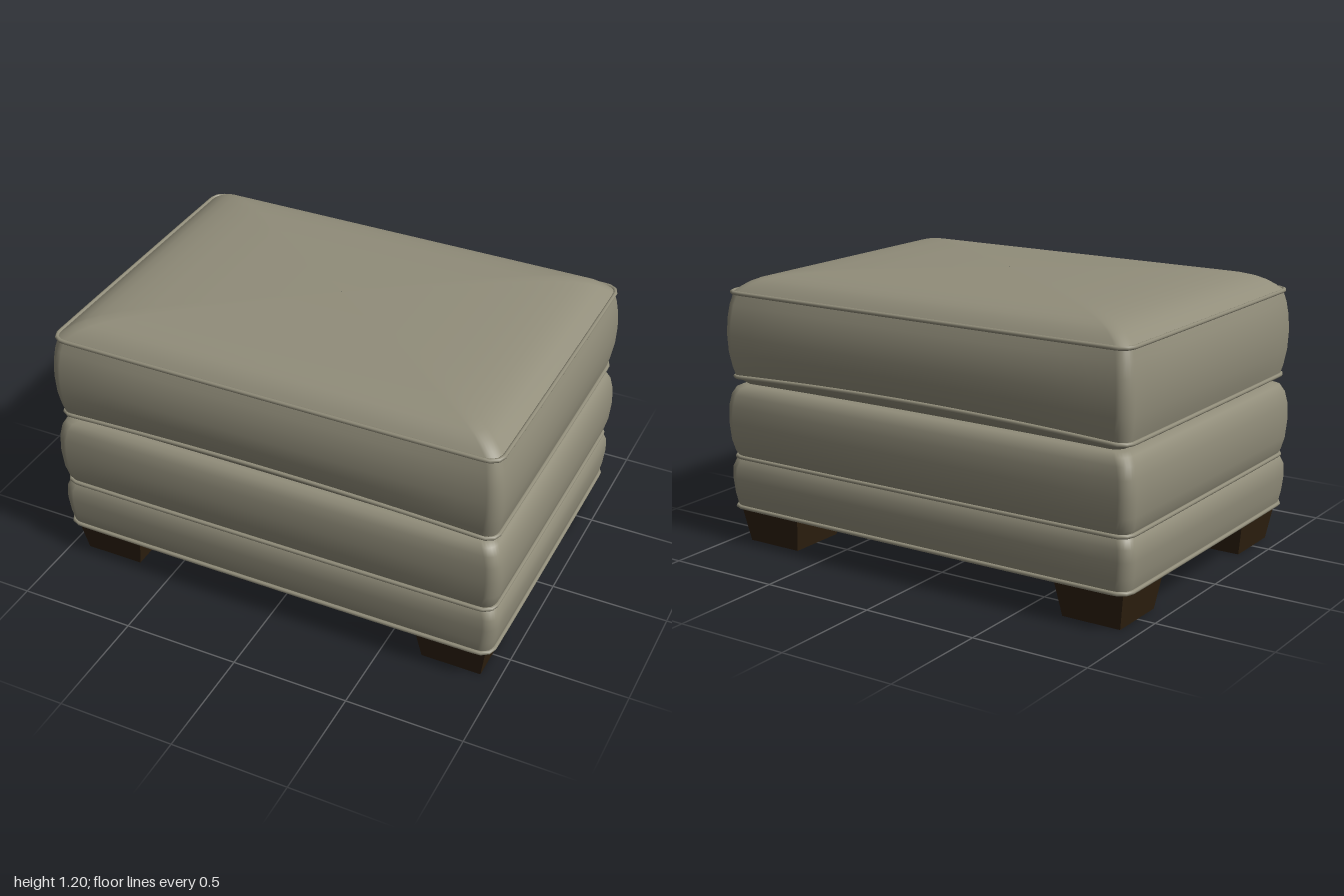
import * as THREE from 'three';

// Rounded-rectangle outline; sides swell outward by `bulge` between the corners.
function outline(hx, hz, r, bulge) {
  const pts = [];
  const corners = [[1, 1], [-1, 1], [-1, -1], [1, -1]];
  const ARC = 6, SIDE = 16;
  corners.forEach(([sx, sz], k) => {
    const arc = (c, a) => [c[0] * (hx - r) + r * Math.cos(a), c[1] * (hz - r) + r * Math.sin(a)];
    for (let i = 0; i <= ARC; i++) pts.push(arc([sx, sz], (k + i / ARC) * Math.PI / 2));
    const a = (k + 1) * Math.PI / 2;
    const p = arc([sx, sz], a), q = arc(corners[(k + 1) % 4], a);
    for (let i = 1; i < SIDE; i++) {
      const t = i / SIDE;
      pts.push([p[0] + (q[0] - p[0]) * t, p[1] + (q[1] - p[1]) * t]);
    }
  });
  return pts.map(([x, z]) => [
    x * (1 + bulge * 0.6 / hx * (1 - (z / hz) ** 4)),
    z * (1 + bulge / hz * (1 - (x / hx) ** 4)),
  ]);
}

// Skin through rings [y, halfX, halfZ, radius, bulge, wave], listed from bottom to top
// (or from the centre outward for undersides).
function loft(rings) {
  const pos = [], index = [];
  let n = 0;
  rings.forEach(([y, hx, hz, r = 0.05, bulge = 0, wave = 0]) => {
    const pts = outline(hx, hz, r, bulge);
    n = pts.length;
    pts.forEach(([x, z]) => pos.push(x, y + wave * (0.5 - (x / 0.96) ** 2), z));
  });
  for (let i = 0; i < rings.length - 1; i++) {
    for (let j = 0; j < n; j++) {
      const a = i * n + j, b = i * n + (j + 1) % n;
      index.push(a, a + n, b, b, a + n, b + n);
    }
  }
  const g = new THREE.BufferGeometry();
  g.setAttribute('position', new THREE.Float32BufferAttribute(pos, 3));
  g.setIndex(index);
  g.computeVertexNormals();
  return g;
}

// Piping cord that follows the outline.
function welt(y, hx, hz, radius, wave = 0) {
  const pts = outline(hx, hz, 0.05, 0.004).map(([x, z]) =>
    new THREE.Vector3(x, y + wave * (0.5 - (x / 0.96) ** 2), z));
  return new THREE.TubeGeometry(new THREE.CatmullRomCurve3(pts, true), 200, radius, 8, true);
}

export function createModel() {
  const group = new THREE.Group();
  const fabric = new THREE.MeshStandardMaterial({ color: 0x918d7a });
  fabric.name = 'taupe upholstery';
  const wood = new THREE.MeshStandardMaterial({ color: 0x2e200f });
  wood.name = 'dark wood';
  const add = (name, geometry, material = fabric) => {
    const mesh = new THREE.Mesh(geometry, material);
    mesh.name = name;
    group.add(mesh);
    return mesh;
  };

  // Base: flat underside, lower band and upper band
  add('baseUnderside', loft([[0.156, 0.001, 0.001, 0.0005], [0.156, 0.97, 0.68]]));
  add('lowerBand', loft([
    [0.156, 0.966, 0.676], [0.18, 0.973, 0.681], [0.22, 0.981, 0.686, 0.05, 0.003],
    [0.29, 0.988, 0.69, 0.05, 0.006], [0.34, 0.986, 0.688, 0.05, 0.005],
    [0.37, 0.974, 0.68], [0.385, 0.962, 0.67],
  ]));
  add('upperBand', loft([
    [0.385, 0.962, 0.67], [0.41, 0.974, 0.682], [0.46, 0.985, 0.692, 0.05, 0.006],
    [0.54, 0.991, 0.697, 0.05, 0.009], [0.61, 0.988, 0.696, 0.05, 0.008],
    [0.66, 0.977, 0.69, 0.05, 0.005], [0.69, 0.96, 0.678], [0.702, 0.935, 0.655],
    [0.706, 0.9, 0.62], [0.7, 0.001, 0.001, 0.0005],
  ]));

  // Cushion: sloping underside, swollen wall, crowned top
  const wave = 0.026;
  add('cushionUnderside', loft([
    [0.698, 0.001, 0.001, 0.0005], [0.7, 0.86, 0.6], [0.712, 0.92, 0.65, 0.05, 0, wave * 0.3],
    [0.75, 0.957, 0.678, 0.05, 0, wave],
  ]));
  add('cushionWall', loft([
    [0.75, 0.957, 0.678, 0.05, 0, wave], [0.79, 0.966, 0.689, 0.05, 0.006, wave * 0.7],
    [0.85, 0.975, 0.698, 0.05, 0.012, wave * 0.4], [0.92, 0.978, 0.701, 0.05, 0.015],
    [0.99, 0.975, 0.698, 0.05, 0.013], [1.05, 0.967, 0.69, 0.05, 0.007], [1.1, 0.955, 0.677],
  ]));
  const crown = [[1, 0], [0.975, 0.2], [0.94, 0.42], [0.9, 0.58], [0.85, 0.7], [0.78, 0.8],
    [0.68, 0.88], [0.5, 0.95], [0.25, 0.99], [0.001, 1]];
  add('cushionTop', loft(crown.map(([s, h]) =>
    [1.1 + 0.1 * h, 0.957 * s, 0.678 * s, 0.05 * s])));

  // Piping along the seams
  add('bottomWelt', welt(0.163, 0.972, 0.682, 0.009));
  add('middleWelt', welt(0.386, 0.969, 0.678, 0.009));
  add('cushionBottomWelt', welt(0.75, 0.96, 0.68, 0.009, wave));
  add('cushionTopWelt', welt(1.1, 0.96, 0.68, 0.009));

  // Four tapered block legs
  for (const sx of [-1, 1]) {
    for (const sz of [-1, 1]) {
      const leg = new THREE.BoxGeometry(0.31, 0.16, 0.315);
      const p = leg.attributes.position;
      for (let i = 0; i < p.count; i++) {
        if (p.getY(i) < 0) p.setXYZ(i, p.getX(i) * 0.83, p.getY(i), p.getZ(i) * 0.83);
      }
      leg.computeVertexNormals();
      const name = (sz > 0 ? 'front' : 'back') + (sx > 0 ? 'Left' : 'Right') + 'Leg';
      add(name, leg, wood).position.set(sx * 0.793, 0.08, sz * 0.5);
    }
  }
  return group;
}
